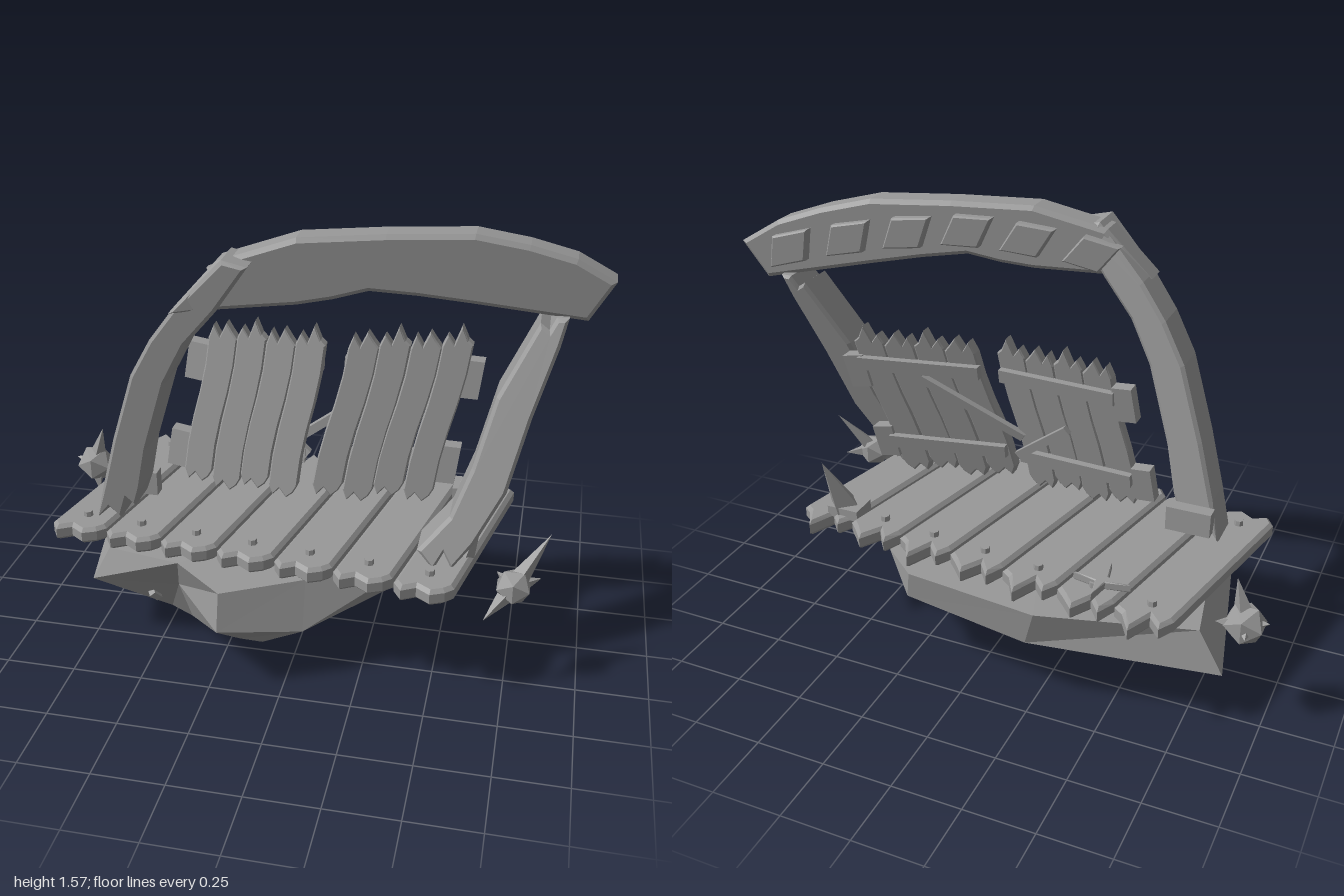
import * as THREE from 'three';

const stone = new THREE.MeshStandardMaterial({ color: 0x999999, flatShading: true });
stone.name = 'plain grey';

export function createModel() {
  const model = new THREE.Group();
  const add = (name, geo, parent = model) => {
    const m = new THREE.Mesh(geo, stone);
    m.name = name;
    parent.add(m);
    return m;
  };
  const group = (name) => {
    const g = new THREE.Group();
    g.name = name;
    model.add(g);
    return g;
  };
  // slide every vertex in z by a rule of x and y
  const shear = (geo, rule) => {
    const p = geo.attributes.position;
    for (let i = 0; i < p.count; i++) p.setZ(i, p.getZ(i) + rule(p.getX(i), p.getY(i)));
    geo.computeVertexNormals();
    return geo;
  };
  // extruded outline with a small bevel, centred on z = 0
  const slab = (pts, depth, bevel = 0.01) => {
    const shape = new THREE.Shape(pts.map(([x, y]) => new THREE.Vector2(x, y)));
    const geo = new THREE.ExtrudeGeometry(shape, {
      depth: depth - 2 * bevel, bevelEnabled: true, bevelThickness: bevel,
      bevelSize: bevel, bevelOffset: -bevel, bevelSegments: 1,
    });
    return geo.translate(0, 0, -depth / 2 + bevel);
  };
  // plank outline from a to b with bowed sides and splintered ends
  const plank = (a, b, w, bow, topTeeth, endTeeth, k) => {
    const pts = [], n = 5;
    const mid = (t) => a[0] + (b[0] - a[0]) * t + bow * Math.sin(2 * Math.PI * t);
    const y = (t) => a[1] + (b[1] - a[1]) * t;
    for (let i = 0; i <= n; i++) pts.push([mid(i / n) - w / 2, y(i / n)]);
    const order = k % 2 ? [0.55, 0.05, 1, 0.25] : [0.7, 0.1, 0.85, 0.35];
    order.forEach((h, i) => pts.push([b[0] + w * (-0.33 + 0.22 * i), b[1] + topTeeth * h]));
    for (let i = n; i >= 0; i--) pts.push([mid(i / n) + w / 2, y(i / n)]);
    [0.5, 0.9, 0.3, 0.8].forEach((h, i) => pts.push([a[0] + w * (0.36 - 0.24 * i), a[1] - endTeeth * h]));
    return pts;
  };
  const UP = new THREE.Vector3(0, 1, 0);
  const spike = (name, from, to, r, parent, sides = 4) => {
    const a = new THREE.Vector3(...from), d = new THREE.Vector3(...to).sub(a);
    const h = d.length();
    const geo = new THREE.ConeGeometry(r, h, sides).translate(0, h / 2, 0);
    const m = add(name, geo, parent);
    m.quaternion.setFromUnitVectors(UP, d.normalize());
    m.position.copy(a);
  };

  // faceted rock base: rim, widest ring, a lower ring and the bottom point
  const rim = [
    [-0.78, 0.37, -0.3], [-0.68, 0.37, 0.25], [-0.4, 0.39, 0.33], [-0.21, 0.39, 0.485], [0.06, 0.39, 0.34],
    [0.4, 0.39, 0.17], [0.62, 0.4, -0.1], [0.23, 0.39, -0.42], [-0.26, 0.39, -0.47],
  ];
  const belly = [
    [-0.87, 0.22, -0.31], [-0.74, 0.25, 0.28], [-0.44, 0.22, 0.21], [-0.21, 0.256, 0.52], [0.06, 0.21, 0.39],
    [0.3, 0.25, 0.15], [0.55, 0.29, -0.05], [0.25, 0.28, -0.4], [-0.22, 0.25, -0.445],
  ];
  const low = [
    [-0.52, 0.06, -0.02], [-0.5, 0.06, 0.12], [-0.42, 0.03, 0.13], [-0.2, 0.05, 0.26], [-0.12, 0.04, 0.25],
    [-0.08, 0.045, 0.2], [-0.05, 0.06, 0.05], [-0.03, 0.06, -0.04], [-0.33, 0.035, 0],
  ];
  const tip = [-0.36, 0.005, 0.1];
  const rings = [rim.map(() => [-0.1, 0.39, 0]), rim, belly, low, rim.map(() => tip)];
  const corners = [];
  for (let r = 0; r < 4; r++) {
    for (let i = 0; i < rim.length; i++) {
      const j = (i + 1) % rim.length;
      const a = rings[r][i], b = rings[r][j], c = rings[r + 1][i], d = rings[r + 1][j];
      if (r > 0) corners.push(...a, ...c, ...b);
      if (r < 3) corners.push(...b, ...c, ...d);
    }
  }
  const rock = new THREE.BufferGeometry();
  rock.setAttribute('position', new THREE.Float32BufferAttribute(corners, 3));
  rock.computeVertexNormals();
  add('rockBase', rock);

  // loose chips set into the rock
  [[0.14, 0.15, -0.22], [0.19, 0.165, 0.06], [-0.54, 0.15, 0.19], [-0.58, 0.38, -0.38], [0.6, 0.385, -0.08]]
    .forEach(([x, y, z]) => {
      const chip = add('rockChip', new THREE.BoxGeometry(0.025, 0.045, 0.025));
      chip.position.set(x, y, z);
      chip.rotation.set(0.4, 0.5, 0.5);
    });

  // floor planks with nails
  const floor = group('floor');
  for (let i = 0; i < 7; i++) {
    const front = [-0.775 + 0.208 * i, -0.275 - 0.022 * i], back = [-0.625 + 0.208 * i, 0.42 - 0.022 * i];
    const geo = slab(plank(front, back, 0.2, 0, 0.1, 0.055, i + 1), 0.06, 0.013);
    add('floorPlank', geo.rotateX(-Math.PI / 2).translate(0, 0.448, 0), floor);
    for (const t of [0.08, 0.93]) {
      const nail = add('nail', new THREE.CylinderGeometry(0.016, 0.018, 0.03, 7), floor);
      nail.position.set(front[0] + (back[0] - front[0]) * t, 0.482, -(front[1] + (back[1] - front[1]) * t));
    }
  }

  // leaning posts
  const leftPost = [
    [-0.73, 0.47], [-0.69, 0.62], [-0.63, 0.82], [-0.54, 1.08], [-0.46, 1.22], [-0.37, 1.34], [-0.2, 1.52],
    [-0.12, 1.5], [-0.23, 1.34], [-0.34, 1.21], [-0.42, 1.06], [-0.51, 0.79], [-0.55, 0.62], [-0.58, 0.54],
    [-0.61, 0.57], [-0.64, 0.48], [-0.68, 0.52],
  ];
  add('leftPost', shear(slab(leftPost, 0.15, 0.012), (x, y) => 0.145 + 0.135 * (y - 0.46)));
  const rightPost = [
    [0.43, 0.52], [0.53, 0.64], [0.59, 0.8], [0.65, 1.03], [0.77, 1.27], [0.8, 1.25], [0.82, 1.29], [0.86, 1.29],
    [0.84, 1.2], [0.77, 0.97], [0.71, 0.73], [0.62, 0.56], [0.55, 0.47], [0.52, 0.52], [0.49, 0.46],
  ];
  add('rightPost', shear(slab(rightPost, 0.155, 0.012), (x, y) => 0.23 - 0.33 * (y - 0.46)));
  spike('postSplinter', [0.59, 0.47, 0.2], [0.64, 0.63, 0.17], 0.03);
  spike('postSplinter', [0.46, 0.47, 0.24], [0.5, 0.58, 0.24], 0.025);
  add('postBlock', new THREE.BoxGeometry(0.16, 0.09, 0.05).translate(-0.625, 0.555, 0.06));

  // arch beam with slanted plates along its back
  const archZ = (x) => 0.2 - 0.283 * x;
  const arch = [
    [-0.38, 1.33], [-0.23, 1.34], [0.01, 1.35], [0.12, 1.365], [0.23, 1.39], [0.38, 1.37], [0.55, 1.34], [0.92, 1.27],
    [1.0, 1.4], [0.87, 1.48], [0.72, 1.53], [0.55, 1.57], [0.28, 1.575], [0.01, 1.57], [-0.23, 1.5],
  ];
  add('archBeam', shear(slab(arch, 0.11, 0.015), archZ));
  const plates = group('archPlates');
  [[-0.19, 1.42, 0.25], [0.02, 1.46, 0.12], [0.22, 1.48, 0], [0.42, 1.465, -0.1], [0.62, 1.435, -0.2], [0.82, 1.39, -0.28]]
    .forEach(([x, y, a]) => {
      const plate = slab([[-0.04, -0.055], [0.085, -0.05], [0.04, 0.055], [-0.085, 0.05]], 0.04, 0.006);
      add('archPlate', shear(plate.rotateZ(a).translate(x, y, -0.065), archZ), plates);
    });

  // gate doors: jagged planks, battens, brace and hinges
  const door = (name, x0, x1, lean, zRule, hinges, brace) => {
    const g = group(name), step = (x1 - x0) / 4;
    const bar = (part, w, h, d, x, y, z, a = 0) =>
      add(part, shear(new THREE.BoxGeometry(w, h, d).rotateZ(a).translate(x, y, z), zRule), g);
    for (let i = 0; i < 4; i++) {
      const x = x0 + step * (i + 0.5), dip = i % 2 ? 0.02 : 0;
      const pts = plank([x, 0.625 - dip], [x + lean, 1.1 + dip / 2], step, -0.006, 0.065, 0.05, i);
      add('doorPlank', shear(slab(pts, 0.045, 0.005), zRule), g);
    }
    const mid = (x0 + x1) / 2, w = x1 - x0;
    bar('lowerBatten', w, 0.05, 0.03, mid + lean * 0.2, 0.7, -0.035);
    bar('upperBatten', w, 0.05, 0.03, mid + lean * 0.85, 1.03, -0.035);
    hinges.forEach(([x, y]) => bar('hinge', 0.07, 0.13, 0.05, x, y, -0.01, -0.12));
    const [ax, ay, bx, by] = brace;
    bar('brace', Math.hypot(bx - ax, by - ay), 0.03, 0.025, (ax + bx) / 2, (ay + by) / 2, -0.04,
      Math.atan2(by - ay, bx - ax));
  };
  door('leftDoor', -0.445, -0.025, 0.08, (x, y) => 0.06 - 0.2 * (y - 0.58) + 0.05 * (x + 0.2),
    [[-0.41, 1.01], [-0.47, 0.69]], [-0.2, 0.86, 0.0, 0.7]);
  door('rightDoor', 0.03, 0.45, 0.1, (x, y) => 0.07 - 0.2 * (y - 0.58) - 0.21 * (x - 0.05),
    [[0.55, 0.99], [0.49, 0.69]], [-0.02, 0.775, 0.32, 0.99]);

  // spiky crystal clusters beside the floor
  const cluster = (name, c, r, tips) => {
    const g = group(name);
    const core = add('clusterCore', new THREE.IcosahedronGeometry(r, 0), g);
    core.position.set(...c);
    tips.forEach((t) => spike('clusterSpike', c, t, r * 0.6, g));
  };
  cluster('rightSideCrystal', [-0.92, 0.42, -0.27], 0.075,
    [[-0.88, 0.58, -0.26], [-1.0, 0.44, -0.27], [-0.9, 0.32, -0.23], [-0.83, 0.43, -0.31], [-0.94, 0.41, -0.35]]);
  cluster('leftSideCrystal', [0.76, 0.42, 0.28], 0.065,
    [[0.87, 0.59, 0.2], [0.67, 0.33, 0.37], [0.85, 0.42, 0.21], [0.7, 0.46, 0.26]]);

  // large thorn at the back and flat star-shaped debris
  spike('backThorn', [0.57, 0.46, -0.24], [0.62, 0.69, -0.315], 0.065);
  add('thornBase', new THREE.BoxGeometry(0.12, 0.04, 0.1).translate(0.56, 0.485, -0.25));
  const star = [];
  for (let i = 0; i < 8; i++) {
    const r = i % 2 ? 0.025 : 0.1, a = (i * Math.PI) / 4;
    star.push([r * Math.cos(a), r * Math.sin(a)]);
  }
  add('starDebris', slab(star, 0.03, 0.004).rotateX(-Math.PI / 2).translate(-0.45, 0.495, -0.34));

  return model;
}
